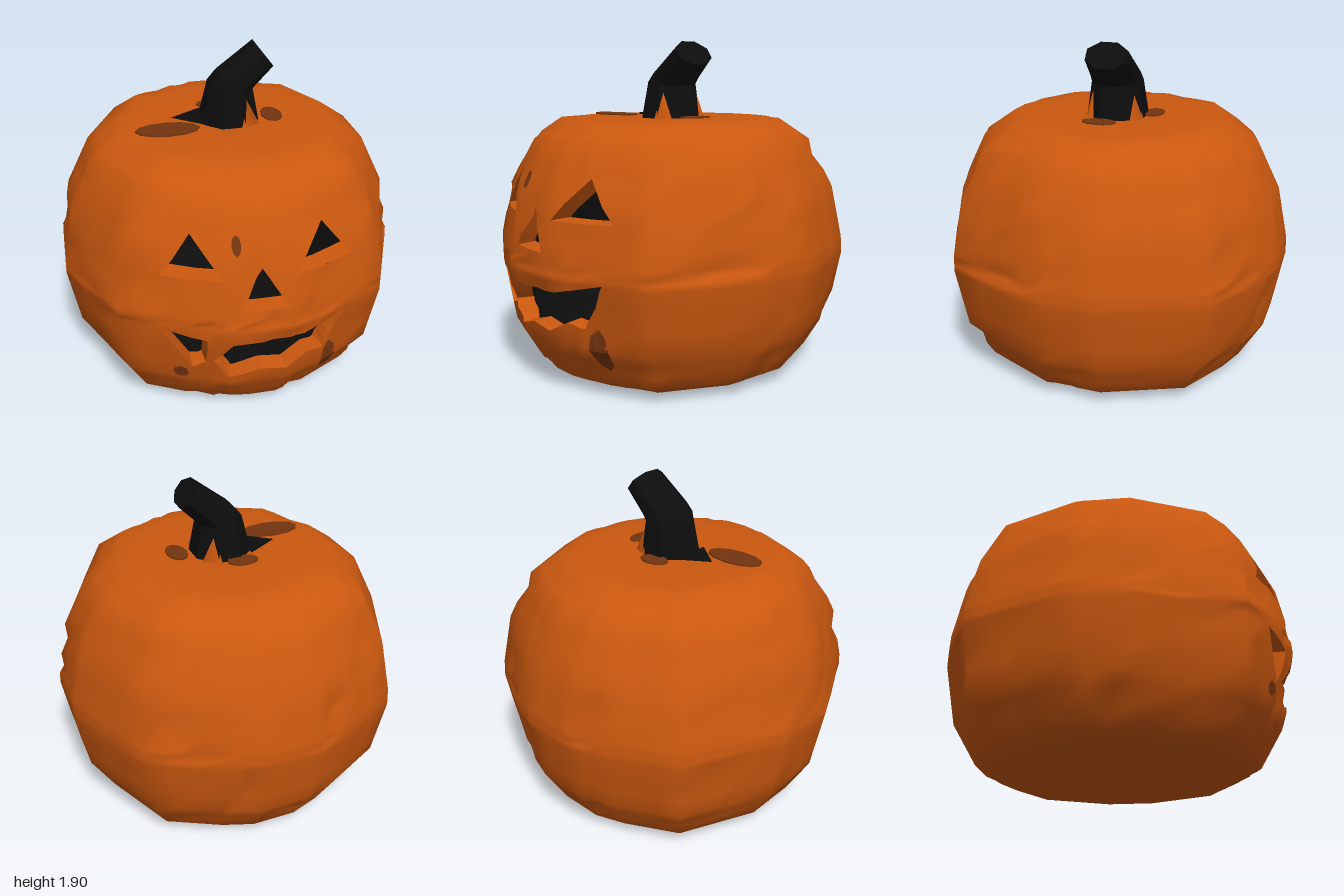
import * as THREE from 'three';

const orange = new THREE.MeshStandardMaterial({ name: 'pumpkinOrange', color: 0xcb580f });
const black = new THREE.MeshStandardMaterial({ name: 'charcoalBlack', color: 0x0d0d0d });
const brown = new THREE.MeshStandardMaterial({ name: 'bruiseBrown', color: 0x73340f });

// Body rings [radius, y] and one quarter of the uneven plan outline [degrees, scale]
const RINGS = [[0.002, 0.01], [0.35, 0.003], [0.68, 0.022], [0.79, 0.08], [0.925, 0.31], [0.99, 0.66],
  [0.985, 0.76], [0.925, 1.06], [0.79, 1.34], [0.62, 1.46], [0.3, 1.47], [0.002, 1.45]];
const QUARTER = [[9, 1.02], [22, 1.005], [45, 1.05], [78.5, 1.01]];
const HALF = [...QUARTER, ...QUARTER.map(([a, s]) => [180 - a, s]).reverse()];
const PLAN = [...HALF, ...HALF.map(([a, s]) => [360 - a, s]).reverse()];
const SUB = 3;

// Carved openings, counter-clockwise from the front
const OPENINGS = {
  rightEye: [[-0.51, 0.97], [-0.2, 0.97], [-0.35, 1.19]],
  leftEye: [[0.17, 0.97], [0.52, 0.97], [0.34, 1.19]],
  nose: [[-0.12, 0.8], [0.14, 0.8], [0, 1.02]],
  mouthCorner: [[-0.53, 0.67], [-0.36, 0.41], [-0.29, 0.43], [-0.29, 0.62]],
  mouth: [[-0.16, 0.6], [-0.25, 0.46], [-0.17, 0.34], [-0.01, 0.39], [0.14, 0.37], [0.27, 0.44],
    [0.37, 0.42], [0.5, 0.67], [0.2, 0.595]],
};

let seed = 11;
const random = () => (seed = (seed * 16807) % 2147483647) / 2147483647;
const mix = THREE.MathUtils.lerp;

function meshFrom(name, positions, material, normals) {
  const g = new THREE.BufferGeometry();
  g.setAttribute('position', new THREE.Float32BufferAttribute(positions, 3));
  if (normals) g.setAttribute('normal', new THREE.Float32BufferAttribute(normals, 3));
  else g.computeVertexNormals();
  const m = new THREE.Mesh(g, material);
  m.name = name;
  return m;
}

// Closed skin with shallow random knife dents
function bodySkin() {
  const cols = PLAN.length * SUB, rows = (RINGS.length - 1) * SUB, pos = [], index = [];
  for (let j = 0; j <= rows; j++) {
    const k = Math.min(Math.floor(j / SUB), RINGS.length - 2), t = j / SUB - k;
    const r = mix(RINGS[k][0], RINGS[k + 1][0], t), y = mix(RINGS[k][1], RINGS[k + 1][1], t);
    for (let i = 0; i < cols; i++) {
      const c = Math.floor(i / SUB), u = (i % SUB) / SUB;
      const corner = ([a, s]) => [Math.sin(a * Math.PI / 180) * s * r, Math.cos(a * Math.PI / 180) * s * r];
      const p = corner(PLAN[c]), q = corner(PLAN[(c + 1) % PLAN.length]);
      const w = u ? u + (random() - 0.5) * 0.25 : 0;
      const x = mix(p[0], q[0], w), z = mix(p[1], q[1], w);
      const chance = z > 0.2 || y < 0.3 ? 0.14 : 0.07;
      const dent = r > 0.2 && random() < chance ? 0.97 : 1;
      pos.push(x * dent, y, z * dent);
      if (j < rows) {
        const a = j * cols + i, b = j * cols + (i + 1) % cols;
        index.push(a, b, b + cols, a, b + cols, a + cols);
      }
    }
  }
  const g = new THREE.BufferGeometry();
  g.setAttribute('position', new THREE.Float32BufferAttribute(pos, 3));
  g.setIndex(index);
  g.computeVertexNormals();
  return g;
}

// Split a polygon by a line, then remove a triangle from a polygon, both seen from the front
function split(poly, a, b) {
  const inside = [], outside = [];
  const side = (p) => (b[0] - a[0]) * (p[1] - a[1]) - (b[1] - a[1]) * (p[0] - a[0]);
  poly.forEach((p, i) => {
    const q = poly[(i + 1) % poly.length], s = side(p), t = side(q);
    if (s >= 0) inside.push(p);
    if (s <= 0) outside.push(p);
    if (s * t < 0) {
      const cut = p.map((v, k) => mix(v, q[k], s / (s - t)));
      inside.push(cut);
      outside.push(cut);
    }
  });
  return [inside, outside];
}
function subtract(poly, tri) {
  const kept = [];
  let rest = poly;
  for (let i = 0; i < 3; i++) {
    const [inside, outside] = split(rest, tri[i], tri[(i + 1) % 3]);
    if (inside.length < 3) return [poly];
    if (outside.length > 2) kept.push(outside);
    rest = inside;
  }
  return kept;
}

// Skin with the openings cut through its front; flip turns it to face inward
function carve(name, skin, contours, material, flip) {
  const cutters = contours.flatMap((c) => THREE.ShapeUtils
    .triangulateShape(c.map((p) => new THREE.Vector2(...p)), []).map((f) => f.map((i) => c[i])));
  const P = skin.attributes.position, N = skin.attributes.normal, pos = [], nor = [], s = flip ? -1 : 1;
  for (let f = 0; f < skin.index.count; f += 3) {
    const tri = [0, 1, 2].map((k) => {
      const i = skin.index.getX(f + k);
      return [P.getX(i), P.getY(i), P.getZ(i), N.getX(i), N.getY(i), N.getZ(i)];
    });
    let pieces = [tri];
    if (tri.every((p) => p[2] > 0.3)) for (const c of cutters) pieces = pieces.flatMap((p) => subtract(p, c));
    for (const poly of pieces) for (let k = 1; k < poly.length - 1; k++) {
      for (const p of flip ? [poly[0], poly[k + 1], poly[k]] : [poly[0], poly[k], poly[k + 1]]) {
        pos.push(p[0], p[1], p[2]);
        nor.push(p[3] * s, p[4] * s, p[5] * s);
      }
    }
  }
  return meshFrom(name, pos, material, nor);
}

export function createModel() {
  const group = new THREE.Group();
  const skin = bodySkin();
  const lining = skin.clone().translate(0, -0.73, 0).scale(0.9, 0.9, 0.9).translate(0, 0.73, 0);
  const outer = new THREE.Mesh(skin), inner = new THREE.Mesh(lining);
  const hit = (mesh, x, y) => new THREE.Raycaster(new THREE.Vector3(x, y, 3), new THREE.Vector3(0, 0, -1))
    .intersectObject(mesh)[0]?.point.z ?? 0.8;

  // Shell, dark lining and the tapering cut walls
  const contours = Object.values(OPENINGS);
  const tapered = contours.map((c) => {
    const mid = [0, 1].map((k) => c.reduce((s, p) => s + p[k], 0) / c.length);
    return c.map((p) => p.map((v, k) => mix(v, mid[k], 0.1)));
  });
  group.add(carve('pumpkinShell', skin, contours, orange, false));
  group.add(carve('innerLining', lining, tapered, black, true));
  Object.keys(OPENINGS).forEach((name, n) => {
    const c = contours[n], d = tapered[n], pos = [], steps = 8;
    const at = (mesh, pts, i, t) => {
      const p = pts[i], q = pts[(i + 1) % pts.length], x = mix(p[0], q[0], t), y = mix(p[1], q[1], t);
      return [x, y, hit(mesh, x, y)];
    };
    for (let i = 0; i < c.length; i++) for (let k = 0; k < steps; k++) {
      const a = at(outer, c, i, k / steps), b = at(outer, c, i, (k + 1) / steps);
      const e = at(inner, d, i, k / steps), f = at(inner, d, i, (k + 1) / steps);
      pos.push(...a, ...b, ...f, ...a, ...f, ...e);
    }
    group.add(meshFrom(name + 'Wall', pos, orange));
  });

  // Bruises lying on the front skin: x, y, half width, half height
  for (const [x, y, w, h] of [[0.42, 0.3, 0.05, 0.12], [-0.13, 1.15, 0.025, 0.05], [-0.42, 0.36, 0.04, 0.04]]) {
    const pos = [];
    const rim = (k) => {
      const a = k * Math.PI / 4, px = x + w * Math.cos(a), py = y + h * Math.sin(a);
      return [px, py, hit(outer, px, py) + 0.007];
    };
    for (let k = 0; k < 8; k++) pos.push(x, y, hit(outer, x, y) + 0.007, ...rim(k), ...rim(k + 1));
    group.add(meshFrom('frontBruise', pos, brown));
  }
  // Bruises on the flat top beside the stem
  for (const [x, z, w, d] of [[-0.35, 0.13, 0.18, 0.09], [0.27, 0.03, 0.06, 0.1], [-0.04, -0.2, 0.09, 0.06]]) {
    const patch = new THREE.Mesh(new THREE.CylinderGeometry(1, 1, 0.008, 12), brown);
    patch.name = 'topBruise';
    patch.scale.set(w, 1, d);
    patch.position.set(x, 1.473, z);
    group.add(patch);
  }

  // Bent stem lofted through sections: left x,y, right x,y, half depth
  const sections = [[-0.15, 1.43, 0.19, 1.43, 0.17], [-0.09, 1.68, 0.15, 1.65, 0.14],
    [-0.04, 1.74, 0.17, 1.67, 0.135], [0.17, 1.9, 0.27, 1.77, 0.12]];
  const point = ([x0, y0, x1, y1, d], k) => {
    const a = (k + 0.5) * Math.PI / 4, t = 0.5 + 0.5 * Math.cos(a) / Math.cos(Math.PI / 8);
    return [mix(x0, x1, t), mix(y0, y1, t), -d * Math.sin(a) / Math.cos(Math.PI / 8)];
  };
  const stem = [];
  for (let k = 0; k < 8; k++) {
    for (let s = 0; s < sections.length - 1; s++) {
      const a = point(sections[s], k), b = point(sections[s], k + 1);
      const c = point(sections[s + 1], k + 1), d = point(sections[s + 1], k);
      stem.push(...a, ...b, ...c, ...a, ...c, ...d);
    }
    stem.push(0.22, 1.835, 0, ...point(sections[3], k), ...point(sections[3], k + 1));
  }
  group.add(meshFrom('stem', stem, black));
  group.add(meshFrom('stemRoot', [-0.31, 1.478, -0.02, -0.12, 1.478, 0.13, -0.12, 1.478, -0.14], black));

  // Flesh spikes climbing the stem, front and back
  for (const z of [-0.125, 0.125]) {
    const spike = new THREE.Mesh(new THREE.ConeGeometry(0.1, 0.2, 4), orange);
    spike.name = 'stemSpike';
    spike.scale.z = 0.5;
    spike.position.set(0.08, 1.55, z);
    group.add(spike);
  }
  return group;
}
